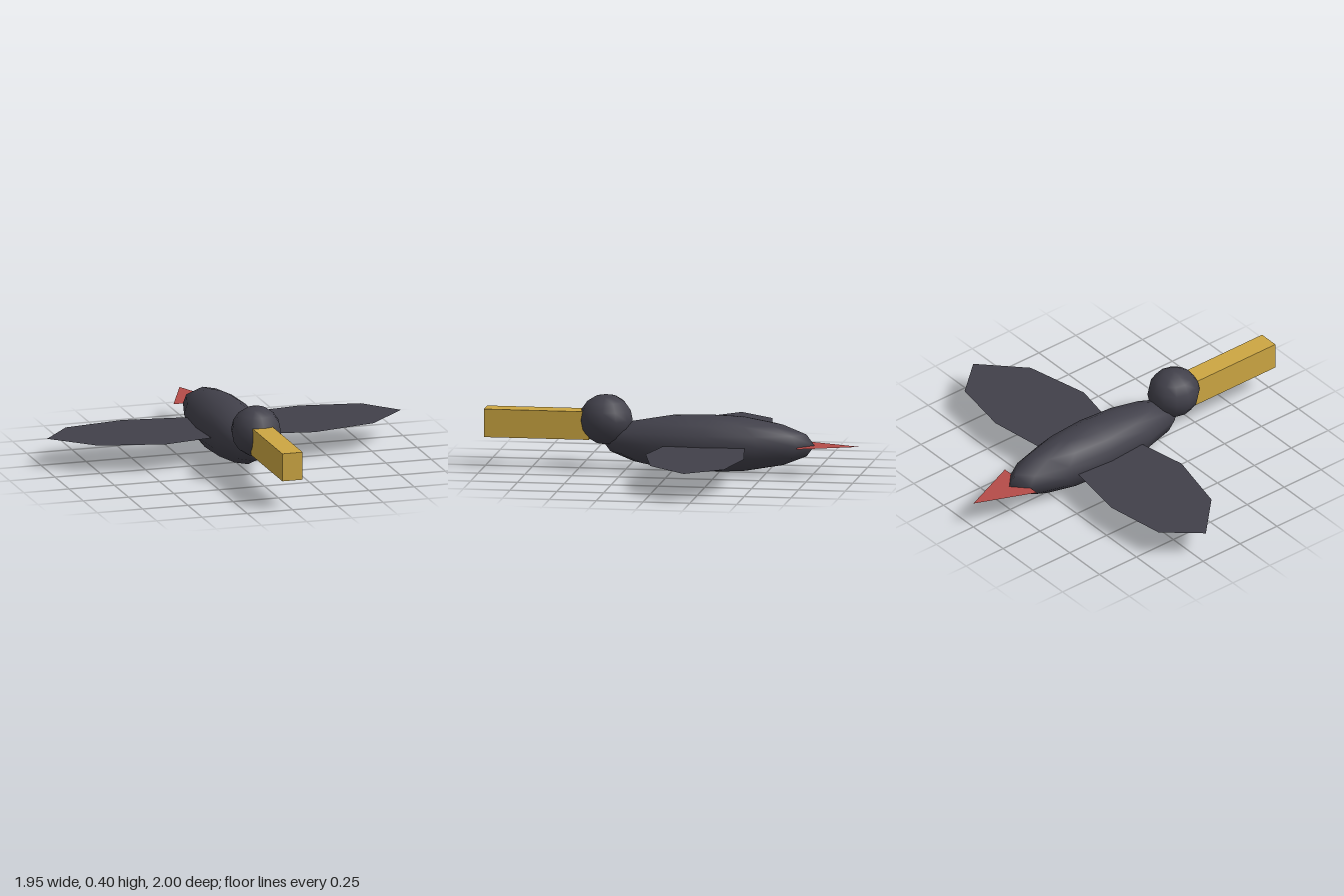
import * as THREE from 'three';

const MID_Y = 0.152; // height of the body's centre line, wings and tail

// Low-poly but smooth ellipsoid
function ellipsoid(name, material, radii, position) {
  const mesh = new THREE.Mesh(new THREE.SphereGeometry(1, 12, 8).scale(...radii), material);
  mesh.name = name;
  mesh.position.set(...position);
  return mesh;
}

// Flat horizontal sheet from an outline of [x, z] points
function sheet(name, material, outline) {
  const shape = new THREE.Shape(outline.map(([x, z]) => new THREE.Vector2(x, -z)));
  const mesh = new THREE.Mesh(new THREE.ShapeGeometry(shape).rotateX(-Math.PI / 2), material);
  mesh.name = name;
  mesh.position.y = MID_Y;
  return mesh;
}

export function createModel() {
  const plumage = new THREE.MeshStandardMaterial({ color: 0x41404a, side: THREE.DoubleSide });
  plumage.name = 'charcoal plumage';
  const horn = new THREE.MeshStandardMaterial({ color: 0xcca642 });
  horn.name = 'golden horn';
  const red = new THREE.MeshStandardMaterial({ color: 0xb54c49, side: THREE.DoubleSide });
  red.name = 'red tail';

  const bird = new THREE.Group();
  bird.name = 'bird';

  // Body and head
  bird.add(ellipsoid('body', plumage, [0.161, 0.152, 0.567], [0, MID_Y, -0.19]));
  bird.add(ellipsoid('head', plumage, [0.134, 0.134, 0.142], [0, 0.264, 0.356]));

  // Long square beak, starting inside the head
  const beak = new THREE.Mesh(new THREE.BoxGeometry(0.112, 0.15, 0.56), horn);
  beak.name = 'beak';
  beak.position.set(0, 0.235, 0.72);
  bird.add(beak);

  // Mirrored wings, rooted inside the body
  const wing = [
    [0.05, 0.01], [0.41, 0.08], [0.76, 0], [0.977, -0.213],
    [0.815, -0.402], [0.488, -0.456], [0.05, -0.392],
  ];
  for (const [name, side] of [['leftWing', 1], ['rightWing', -1]]) {
    bird.add(sheet(name, plumage, wing.map(([x, z]) => [x * side, z])));
  }

  // Pointed tail
  bird.add(sheet('tail', red, [[-0.134, -0.678], [0.134, -0.678], [0, -1]]));

  return bird;
}
